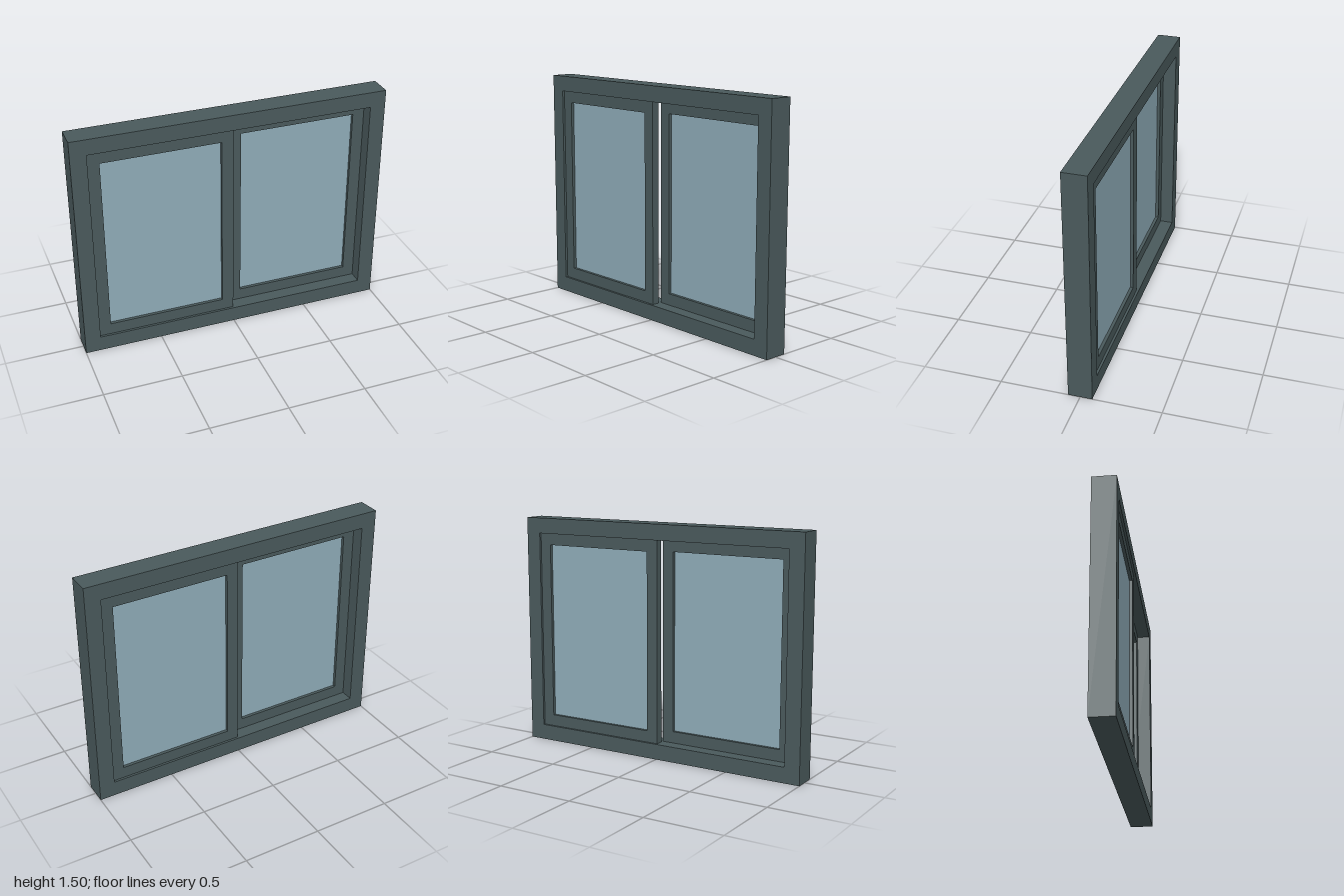
import * as THREE from 'three';

// Rectangular ring centred on the origin, extruded along z
function ringGeometry(w, h, border, depth) {
  const rect = (target, hw, hh) => {
    target.moveTo(-hw, -hh);
    target.lineTo(hw, -hh);
    target.lineTo(hw, hh);
    target.lineTo(-hw, hh);
    target.closePath();
    return target;
  };
  const shape = rect(new THREE.Shape(), w / 2, h / 2);
  shape.holes.push(rect(new THREE.Path(), w / 2 - border, h / 2 - border));
  const geo = new THREE.ExtrudeGeometry(shape, { depth, bevelEnabled: false });
  return geo.translate(0, 0, -depth / 2);
}

export function createModel() {
  const frameMaterial = new THREE.MeshStandardMaterial({ color: 0x4a5a5c });
  frameMaterial.name = 'darkFrame';
  const glassMaterial = new THREE.MeshStandardMaterial({ color: 0x90adb9 });
  glassMaterial.name = 'blueGlass';

  const W = 2, H = 1.5, D = 0.15, BORDER = 0.1;
  const SASH_W = 0.9, SASH_H = 1.3, SASH_BORDER = 0.075, SASH_D = 0.05, SASH_Z = 0.035;

  const model = new THREE.Group();
  model.name = 'slidingWindow';

  const add = (parent, name, geometry, material) => {
    const mesh = new THREE.Mesh(geometry, material);
    mesh.name = name;
    parent.add(mesh);
    return mesh;
  };

  // Outer frame
  add(model, 'outerFrame', ringGeometry(W, H, BORDER, D), frameMaterial).position.y = H / 2;

  // Two sliding sashes on separate tracks: the right one in front, the left one behind
  const sashGeometry = ringGeometry(SASH_W, SASH_H, SASH_BORDER, SASH_D);
  const paneGeometry = new THREE.BoxGeometry(SASH_W - 2 * SASH_BORDER, SASH_H - 2 * SASH_BORDER, 0.01);
  for (const side of [-1, 1]) {
    const sash = new THREE.Group();
    sash.name = side < 0 ? 'rightSash' : 'leftSash';
    sash.position.set(side * SASH_W / 2, H / 2, -side * SASH_Z);
    add(sash, 'sashFrame', sashGeometry, frameMaterial);
    add(sash, 'glassPane', paneGeometry, glassMaterial);
    model.add(sash);
  }
  return model;
}
